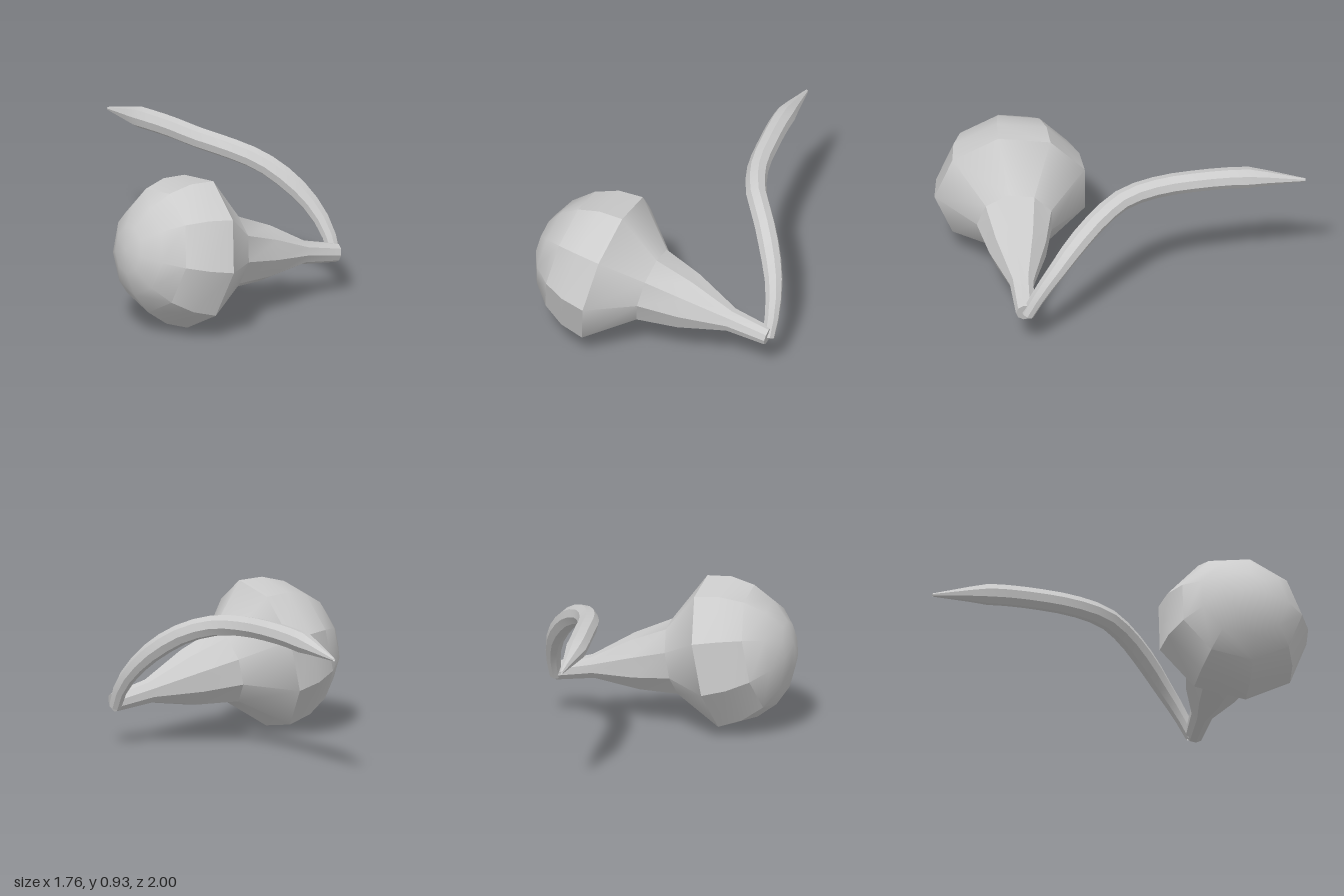
import * as THREE from 'three';
import { toCreasedNormals } from 'three/addons/utils/BufferGeometryUtils.js';

const CREASE = 0.55;

// Bulb and tapering neck: nine-sided lathe laid along a tilted axis
function makeGourd(material) {
  const profile = [[0, 0], [0.058, 0], [0.075, 0.25], [0.18, 0.54], [0.237, 0.79]];
  const rings = 5;
  for (let i = 0; i <= rings; i++) {
    const a = (i / rings) * Math.PI / 2;
    profile.push([i === rings ? 0 : 0.477 * Math.cos(a), 1.05 + 0.5 * Math.sin(a)]);
  }
  const geometry = new THREE.LatheGeometry(
    profile.map(([r, s]) => new THREE.Vector2(r, s)), 9, THREE.MathUtils.degToRad(9));
  const axis = new THREE.Vector3(-0.635, 0.19, 0.75).normalize();
  const side = new THREE.Vector3(axis.z, 0, -axis.x).normalize();
  const third = new THREE.Vector3().crossVectors(side, axis);
  geometry.applyMatrix4(new THREE.Matrix4().makeBasis(side, axis, third).setPosition(0.835, 0.28, -0.275));
  const mesh = new THREE.Mesh(toCreasedNormals(geometry, CREASE), material);
  mesh.name = 'gourdBody';
  return mesh;
}

// Curling stem: a tube whose rings are scaled to taper at both ends
function makeStem(material) {
  const path = new THREE.CatmullRomCurve3([
    [0.82, 0.26, -0.28], [0.76, 0.40, -0.325], [0.64, 0.55, -0.365], [0.5, 0.67, -0.38],
    [0.32, 0.775, -0.39], [0.12, 0.835, -0.4], [-0.1, 0.855, -0.47], [-0.33, 0.86, -0.605],
    [-0.57, 0.845, -0.76], [-0.87, 0.797, -0.995],
  ].map((p) => new THREE.Vector3(...p)));
  const segments = 18, sides = 8;
  const geometry = new THREE.TubeGeometry(path, segments, 0.066, sides, false);
  const pos = geometry.attributes.position;
  const v = new THREE.Vector3();
  for (let i = 0; i <= segments; i++) {
    const t = i / segments;
    const center = path.getPointAt(t);
    const scale = Math.min(1, 0.6 + t * 1.6, 0.15 + (1 - t) * 5.1);
    for (let j = 0; j <= sides; j++) {
      const k = i * (sides + 1) + j;
      v.fromBufferAttribute(pos, k).sub(center).multiplyScalar(scale).add(center);
      pos.setXYZ(k, v.x, v.y, v.z);
    }
  }
  const mesh = new THREE.Mesh(toCreasedNormals(geometry, CREASE), material);
  mesh.name = 'curlingStem';
  return mesh;
}

export function createModel() {
  const material = new THREE.MeshStandardMaterial({ color: 0xcccccc, side: THREE.DoubleSide });
  const group = new THREE.Group();
  group.name = 'gourd';
  group.add(makeGourd(material), makeStem(material));
  return group;
}
